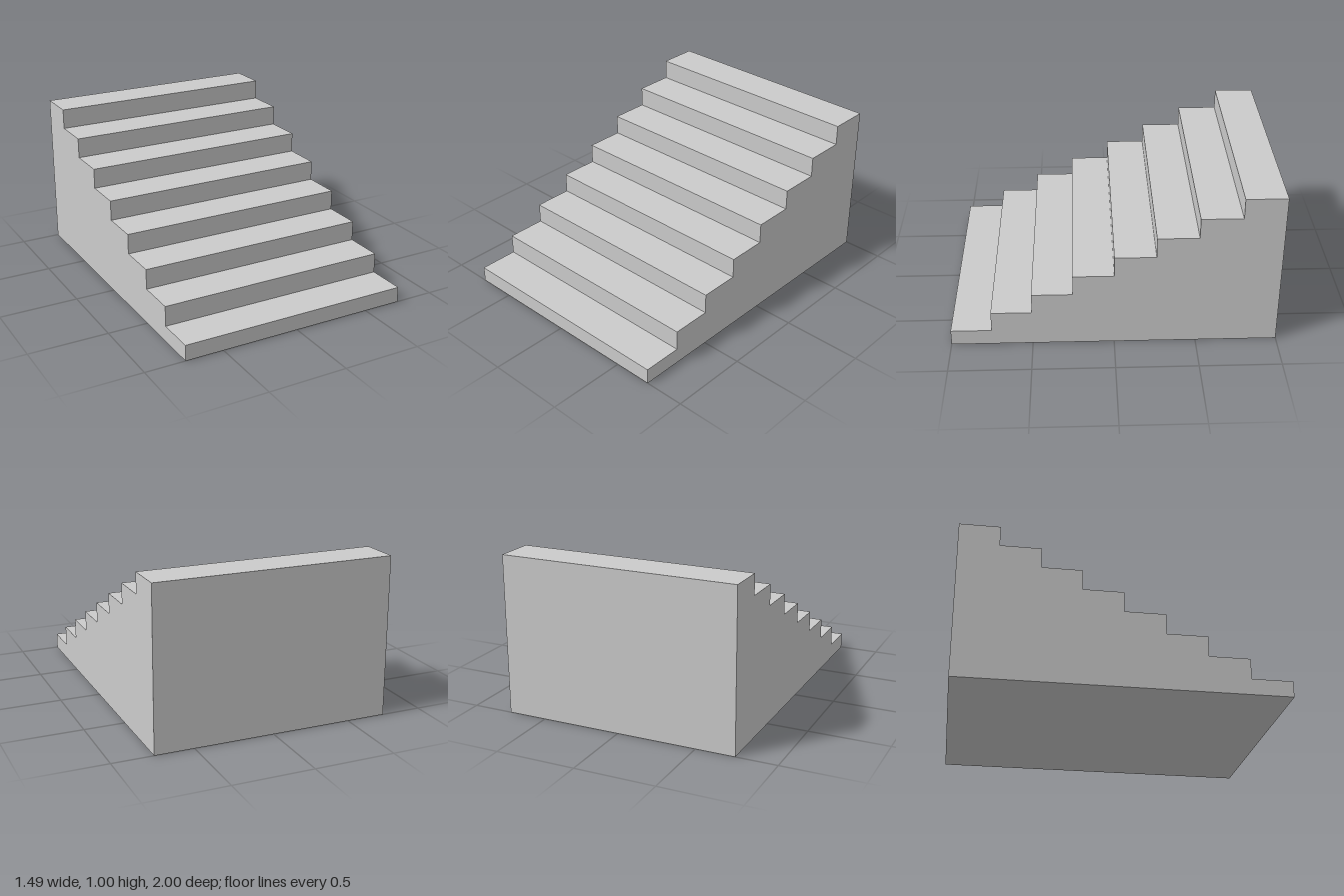
import * as THREE from 'three';

const STEPS = 8;
const WIDTH = 1.49;
const DEPTH = 2 / STEPS;
const FIRST_HEIGHT = 0.1;
const RISE = (1 - FIRST_HEIGHT) / (STEPS - 1);

export function createModel() {
  const staircase = new THREE.Group();
  staircase.name = 'staircase';
  const material = new THREE.MeshStandardMaterial({ color: 0xcccccc });

  // Solid steps reaching the ground, lowest at the front
  for (let i = 0; i < STEPS; i++) {
    const height = FIRST_HEIGHT + i * RISE;
    const step = new THREE.Mesh(new THREE.BoxGeometry(WIDTH, height, DEPTH), material);
    step.name = `step${i + 1}`;
    step.position.set(0, height / 2, 1 - (i + 0.5) * DEPTH);
    staircase.add(step);
  }

  return staircase;
}
